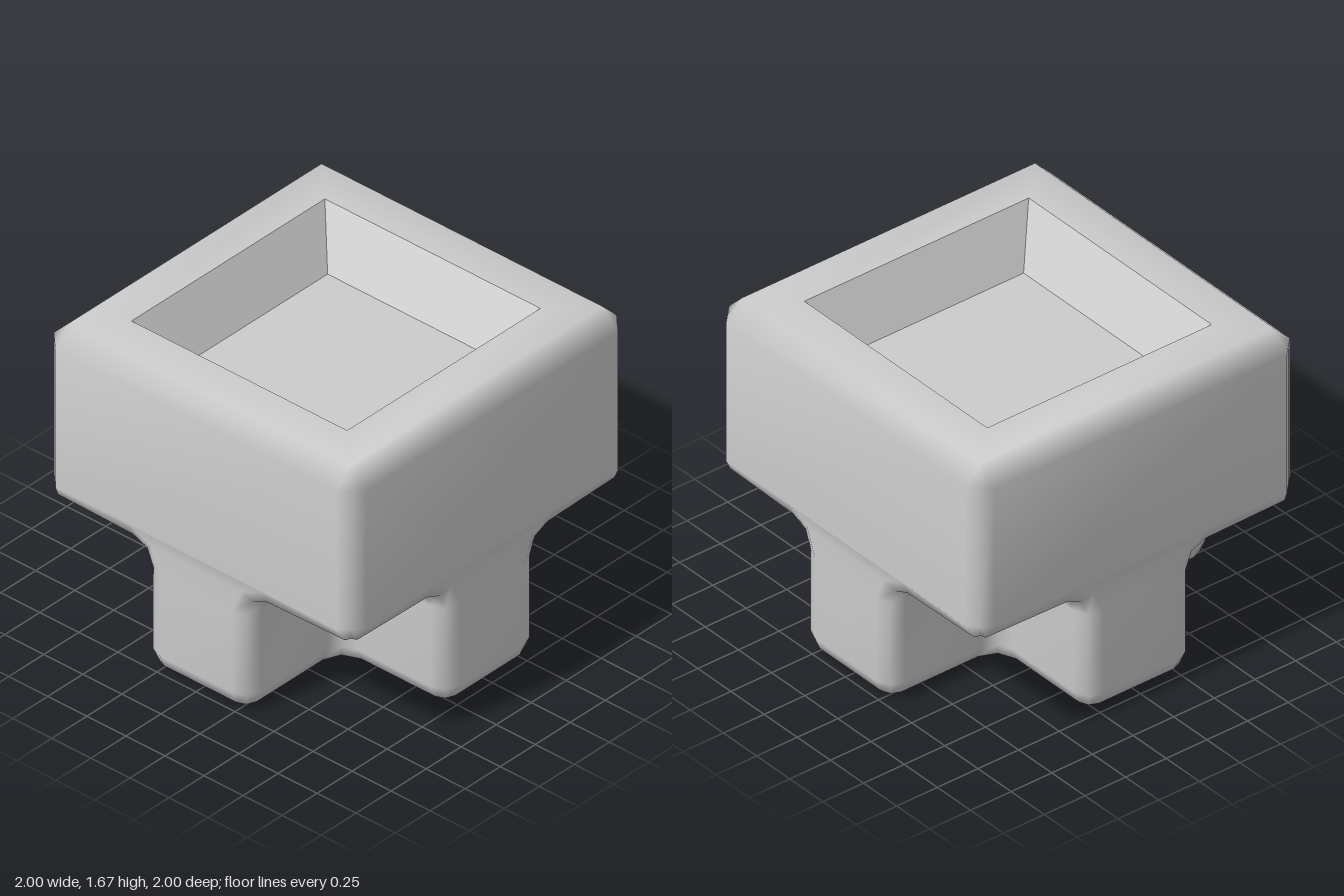
import * as THREE from 'three';
import { mergeVertices } from 'three/addons/utils/BufferGeometryUtils.js';

const K = Math.SQRT1_2;

// Five points from an arm end to the inner corner, mirrored across the
// diagonal to a quadrant and then turned four times into a closed loop.
function ring(half) {
  const quadrant = [...half, ...half.slice(0, 4).reverse().map(([x, y, z]) => [z, y, x])];
  const loop = [];
  for (let q = 0; q < 4; q++) {
    for (const p of quadrant) {
      let [x, y, z] = p;
      for (let t = 0; t < q; t++) [x, z] = [z, -x];
      loop.push([x, y, z]);
    }
  }
  return loop;
}

// Cross outline pulled in by d, with rounded outer and inner corners
function cross(y, d) {
  const r = 0.1 - d, R = 0.1 + d;
  return ring([
    [0.23, y, 1 - d],
    [0.23 + r * K, y, 0.9 + r * K],
    [0.33 - d, y, 0.9],
    [0.43 - R, y, 0.43],
    [0.43 - R * K, y, 0.43 - R * K],
  ]);
}

// Fillet where the arms flare out into the underside of the block
function flare(angle) {
  const c = Math.cos(angle), s = Math.sin(angle);
  const at = (r, z) => [0.43 - r * c, 0.57 + r * s, z];
  const inner = 0.43 - 0.1 * c * K;
  return ring([at(0.2, 1), at(0.13, 0.97), at(0.1, 0.9), at(0.1, 0.43),
    [inner, 0.57 + 0.1 * s, inner]]);
}

// Square outline with cut corners
function square(y, half, cut) {
  const m = half - cut / 2;
  return ring([[half - cut, y, half], [m, y, m], [m, y, m], [m, y, m], [m, y, m]]);
}

function loft(loops) {
  const n = loops[0].length, index = [];
  for (let i = 0; i < loops.length - 1; i++) {
    for (let j = 0; j < n; j++) {
      const k = (j + 1) % n;
      const a = i * n + j, b = i * n + k, c = b + n, d = a + n;
      index.push(a, b, c, a, c, d);
    }
  }
  const geo = new THREE.BufferGeometry();
  geo.setAttribute('position', new THREE.Float32BufferAttribute(loops.flat(2), 3));
  geo.setIndex(index);
  const merged = mergeVertices(geo, 1e-4);
  merged.computeVertexNormals();
  return merged;
}

export function createModel() {
  const group = new THREE.Group();
  const add = (name, geometry, options = {}) => {
    const mesh = new THREE.Mesh(geometry,
      new THREE.MeshStandardMaterial({ color: 0xcccccc, ...options }));
    mesh.name = name;
    group.add(mesh);
    return mesh;
  };

  // Cross-shaped foot flowing into the square block, bottom centre to rim
  add('body', loft([
    ring(Array(5).fill([0, 0, 0])),
    cross(0, 0.1),
    cross(0.03, 0.03),
    cross(0.1, 0),
    flare(0),
    flare(Math.PI / 4),
    flare(Math.PI / 2),
    ring([[0.9, 0.77, 1], [0.92, 0.7, 0.96], [0.9, 0.67, 0.9], [0.9, 0.67, 0.9], [0.9, 0.67, 0.9]]),
    square(0.77, 1, 0.1),
    square(1.57, 1, 0.1),
    square(1.67, 0.9, 0),
    square(1.67, 0.69, 0),
  ]));

  // Sloping walls of the recess in the top
  const walls = new THREE.CylinderGeometry(0.69 / K, 0.52 / K, 0.27, 4, 1, true);
  walls.rotateY(Math.PI / 4);
  add('recessWalls', walls, { side: THREE.DoubleSide, flatShading: true }).position.y = 1.535;

  // Flat floor of the recess
  const floor = new THREE.PlaneGeometry(1.04, 1.04);
  floor.rotateX(-Math.PI / 2);
  add('recessFloor', floor, { side: THREE.DoubleSide }).position.y = 1.4;

  return group;
}
